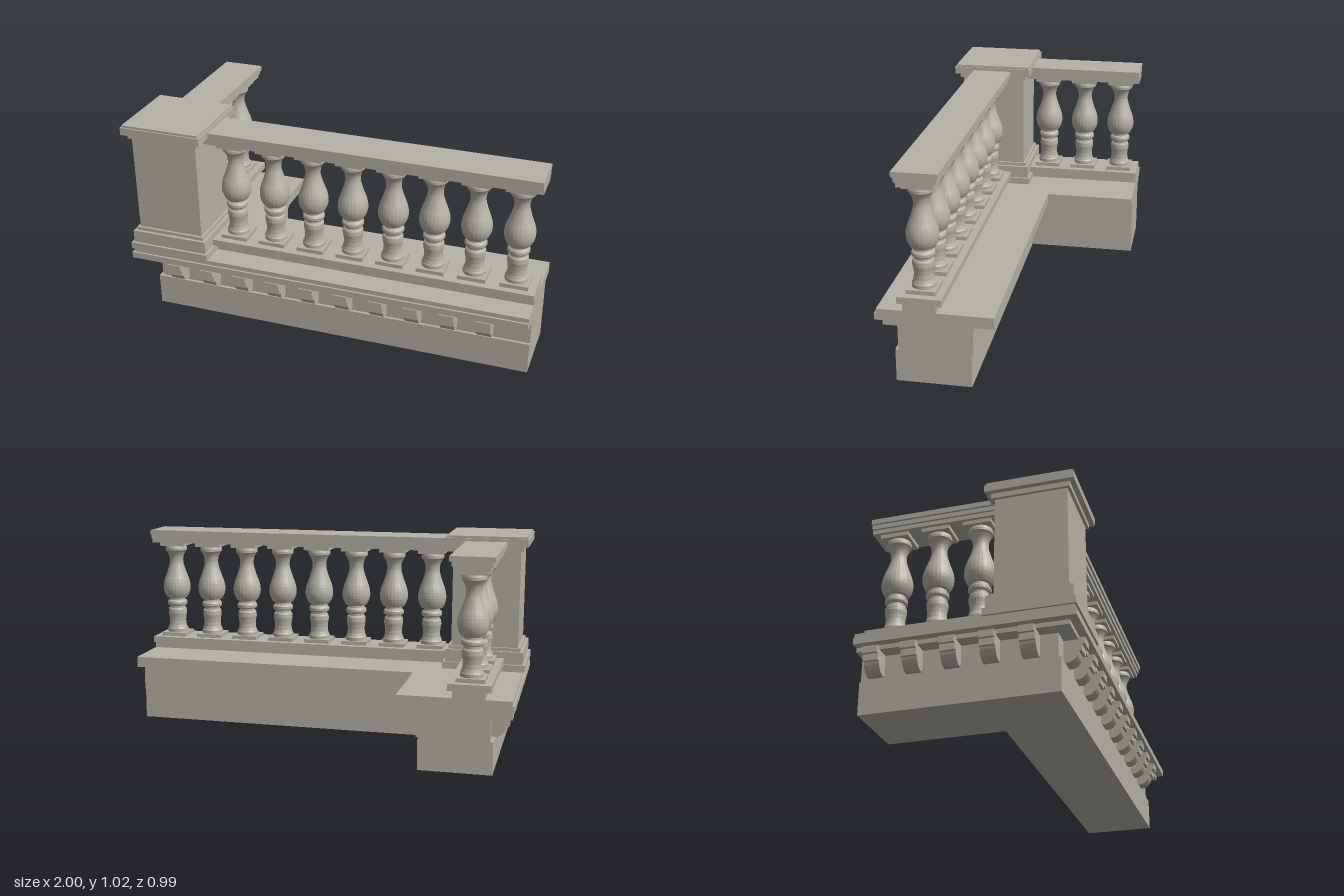
import * as THREE from 'three';

const stone = new THREE.MeshStandardMaterial({ color: 0xb5b2a5, flatShading: true });
stone.name = 'stone';

const AXIS_Z = 0.29;    // centre line of the long arm
const AXIS_X = -0.795;  // centre line of the short arm
const END_X = 1, END_Z = -0.497;

function add(parent, name, geometry, x = 0, y = 0, z = 0) {
  const mesh = new THREE.Mesh(geometry, stone);
  mesh.name = name;
  mesh.position.set(x, y, z);
  parent.add(mesh);
  return mesh;
}

// L-shaped slab; outer and inner are its z limits, mirrored about the corner diagonal
function course(parent, name, y0, y1, outer, inner) {
  const xo = AXIS_X + AXIS_Z - outer, xi = AXIS_X + AXIS_Z - inner;
  const shape = new THREE.Shape([
    [xo, outer], [END_X, outer], [END_X, inner], [xi, inner], [xi, END_Z], [xo, END_Z],
  ].map(([x, z]) => new THREE.Vector2(x, -z)));
  const g = new THREE.ExtrudeGeometry(shape, { depth: y1 - y0, bevelEnabled: false });
  g.rotateX(-Math.PI / 2);
  add(parent, name, g, 0, y0, 0);
}

// Turned profile: straight mouldings below, a smooth vase above
function balusterProfile() {
  const V = (r, y) => new THREE.Vector2(r, y);
  const foot = [
    [0, 0.432], [0.055, 0.432], [0.055, 0.45], [0.051, 0.457], [0.046, 0.472], [0.044, 0.495],
    [0.046, 0.515], [0.05, 0.535], [0.049, 0.555], [0.046, 0.562], [0.041, 0.565], [0.041, 0.576],
    [0.049, 0.578], [0.053, 0.585], [0.053, 0.597], [0.049, 0.604], [0.043, 0.608], [0.042, 0.618],
  ].map(p => V(...p));
  const vase = new THREE.SplineCurve([
    [0.055, 0.622], [0.067, 0.645], [0.073, 0.675], [0.068, 0.713], [0.052, 0.758],
    [0.039, 0.8], [0.036, 0.825], [0.04, 0.85], [0.05, 0.87], [0.055, 0.876],
  ].map(p => V(...p))).getPoints(22);
  const neck = [[0.058, 0.88], [0.058, 0.892], [0.053, 0.907], [0, 0.907]].map(p => V(...p));
  return [...foot, ...vase, ...neck];
}

// Scrolled bracket, extruded across its width and centred on it
function bracketGeometry() {
  const s = new THREE.Shape();
  s.moveTo(-0.01, 0.172);
  s.lineTo(0.025, 0.172);
  s.quadraticCurveTo(0.06, 0.183, 0.066, 0.222);
  s.lineTo(0.08, 0.222);
  s.lineTo(0.08, 0.253);
  s.lineTo(0.094, 0.253);
  s.lineTo(0.094, 0.285);
  s.lineTo(-0.01, 0.285);
  s.closePath();
  const g = new THREE.ExtrudeGeometry(s, { depth: 0.07, bevelEnabled: false, curveSegments: 6 });
  return g.translate(0, 0, -0.035);
}

export function createModel() {
  const model = new THREE.Group();
  model.name = 'cornerBalustrade';

  // Base wall and cornice
  const wall = new THREE.Group();
  wall.name = 'baseWall';
  model.add(wall);
  course(wall, 'plinthCourse', 0, 0.157, 0.405, 0.06);
  course(wall, 'friezeCourse', 0.157, 0.275, 0.391, 0.052);
  course(wall, 'bedMoulding', 0.275, 0.296, 0.457, 0.048);
  course(wall, 'corniceDrip', 0.296, 0.328, 0.495, -0.042);
  course(wall, 'corniceTop', 0.328, 0.35, 0.485, -0.042);

  // Bottom rail and handrail
  const rails = new THREE.Group();
  rails.name = 'rails';
  model.add(rails);
  for (const [name, y0, y1, half] of [
    ['bottomRailNeck', 0.35, 0.382, 0.075],
    ['bottomRail', 0.382, 0.415, 0.1],
    ['handrailFillet', 0.925, 0.946, 0.082],
    ['handrailMoulding', 0.946, 0.968, 0.092],
    ['handrailTop', 0.968, 0.993, 0.102],
  ]) course(rails, name, y0, y1, AXIS_Z + half, AXIS_Z - half);

  // Corner pedestal
  const pedestal = new THREE.Group();
  pedestal.name = 'cornerPedestal';
  model.add(pedestal);
  for (const [name, y0, y1, half] of [
    ['pedestalPlinth', 0.35, 0.384, 0.205],
    ['pedestalBase', 0.384, 0.447, 0.193],
    ['pedestalBaseFillet', 0.447, 0.464, 0.178],
    ['pedestalShaft', 0.464, 0.945, 0.166],
    ['capFillet', 0.945, 0.97, 0.18],
    ['capSlab', 0.97, 1.007, 0.204],
    ['capTop', 1.007, 1.018, 0.197],
  ]) add(pedestal, name, new THREE.BoxGeometry(2 * half, y1 - y0, 2 * half), AXIS_X, (y0 + y1) / 2, AXIS_Z);

  // Balusters with square blocks above and below
  const turned = new THREE.LatheGeometry(balusterProfile(), 24);
  const lowBlock = new THREE.BoxGeometry(0.134, 0.02, 0.134);
  const spots = [];
  for (let i = 0; i < 8; i++) spots.push([-0.503 + 0.2 * i, AXIS_Z]);
  for (let i = 0; i < 3; i++) spots.push([AXIS_X, 0.005 - 0.2 * i]);
  for (const [x, z] of spots) {
    const b = new THREE.Group();
    b.name = 'baluster';
    b.position.set(x, 0, z);
    add(b, 'balusterShaft', turned);
    add(b, 'balusterFoot', lowBlock, 0, 0.424, 0);
    add(b, 'balusterHead', lowBlock, 0, 0.916, 0);
    model.add(b);
  }

  // Brackets under the cornice on both outer faces
  const bracket = bracketGeometry();
  for (let i = 0; i < 10; i++)
    add(wall, 'bracket', bracket, -0.78 + 0.1745 * i, 0, 0.391).rotation.y = -Math.PI / 2;
  for (let i = 0; i < 5; i++)
    add(wall, 'bracket', bracket, -0.896, 0, 0.275 - 0.1745 * i).rotation.y = Math.PI;

  return model;
}
